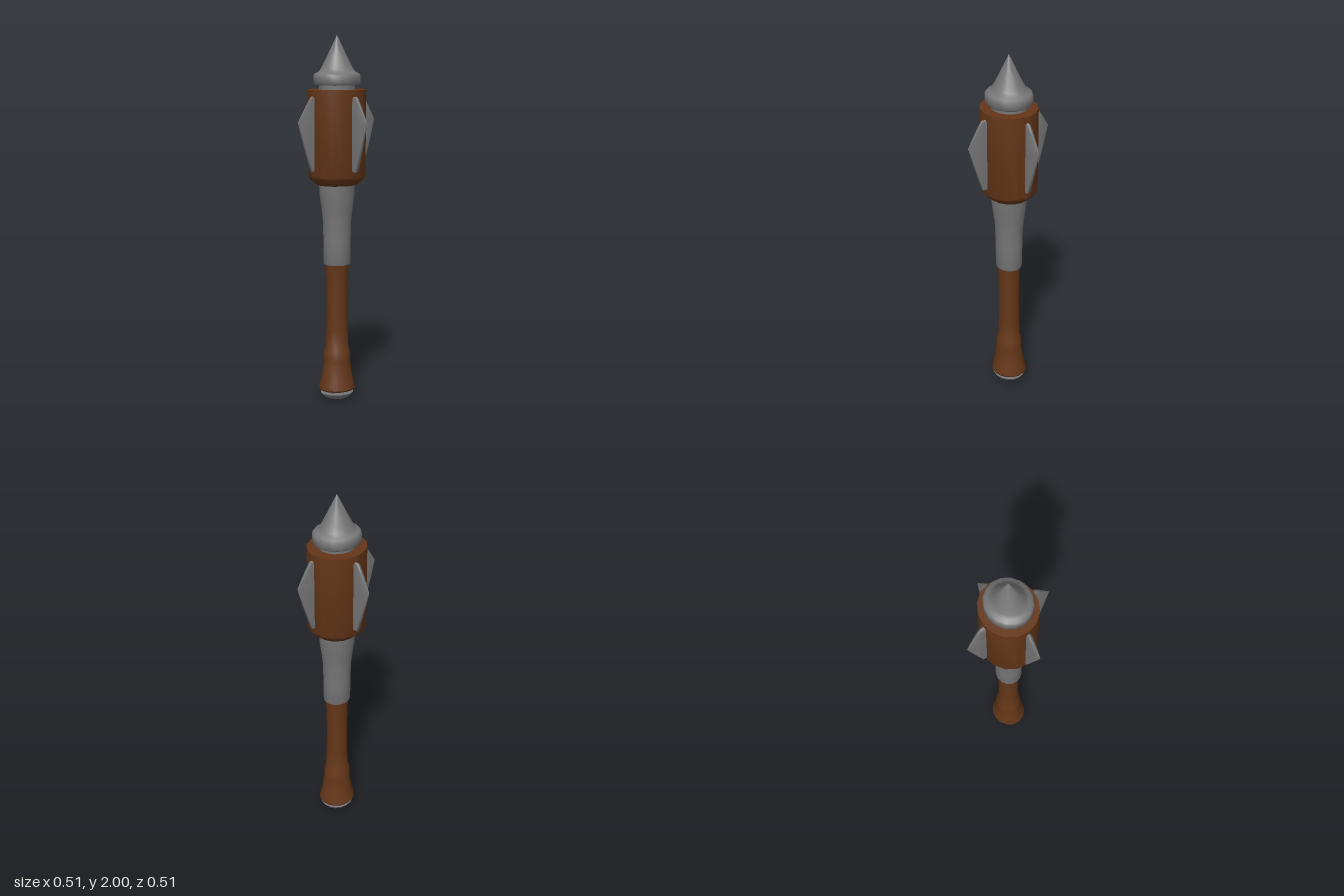
import * as THREE from 'three';
import { toCreasedNormals } from 'three/addons/utils/BufferGeometryUtils.js';

const SIDES = 16;
const X_SQUASH = 0.935; // the shaft is slightly oval

const steel = new THREE.MeshStandardMaterial({ color: 0x767676 });
const wood = new THREE.MeshStandardMaterial({ color: 0x643618 });

// Oval turned part from [radius, height] pairs, bottom to top
function turned(name, profile, material, crease = 0.6) {
  const points = profile.map(([r, y]) => new THREE.Vector2(r, y));
  const geometry = new THREE.LatheGeometry(points, SIDES);
  geometry.scale(X_SQUASH, 1, 1);
  const mesh = new THREE.Mesh(toCreasedNormals(geometry, crease), material);
  mesh.name = name;
  return mesh;
}

// Flange blade pointing along +x: rounded slab sections that shrink to a point
function bladeGeometry() {
  // [distance from axis, bottom, top, half thickness]
  const sections = [
    [0.12, 1.28, 1.68, 0.012],
    [0.17, 1.28, 1.68, 0.012],
    [0.2, 1.373, 1.634, 0.011],
    [0.23, 1.464, 1.587, 0.007],
    [0.256, 1.543, 1.547, 0.001],
  ];
  const geometry = new THREE.CylinderGeometry(1, 1, 1, 8, sections.length - 1);
  const p = geometry.attributes.position;
  for (let i = 0; i < p.count; i++) {
    const row = Math.round((p.getY(i) + 0.5) * (sections.length - 1));
    const [r, low, high, thick] = sections[row];
    const c = p.getZ(i);
    const reach = Math.abs(c) > 0.9 ? 1 : Math.abs(c) > 0.1 ? 0.96 : 0;
    const y = (low + high) / 2 + Math.sign(c) * reach * (high - low) / 2;
    p.setXYZ(i, r, y, thick * Math.sign(Math.round(p.getX(i) * 10)));
  }
  geometry.computeVertexNormals();
  return geometry;
}

export function createModel() {
  const group = new THREE.Group();
  group.name = 'flangedMace';

  // Rounded cap under the handle
  group.add(turned('pommel', [
    [0, 0.004], [0.03, 0.006], [0.06, 0.014], [0.08, 0.027], [0.093, 0.045], [0, 0.047],
  ], steel));

  // Small posts between pommel and grip
  for (const side of [-1, 1]) {
    const post = new THREE.Mesh(new THREE.BoxGeometry(0.075, 0.03, 0.02), steel);
    post.name = 'pommelPost';
    post.position.set(0, 0.055, side * 0.05);
    group.add(post);
  }

  // Handle with flared end
  group.add(turned('grip', [
    [0, 0.062], [0.098, 0.062], [0.103, 0.07], [0.1, 0.09], [0.089, 0.13], [0.08, 0.19],
    [0.075, 0.23], [0.074, 0.28], [0.065, 0.3], [0.061, 0.4], [0.059, 0.55], [0.061, 0.7],
    [0.066, 0.77], [0, 0.77],
  ], wood));

  // Tapered steel sleeve
  group.add(turned('sleeve', [
    [0, 0.766], [0.073, 0.766], [0.076, 0.775], [0.077, 0.9], [0.08, 1.01], [0.087, 1.07],
    [0.097, 1.14], [0.101, 1.21], [0, 1.21],
  ], steel));

  // Wooden head with chamfered base
  group.add(turned('head', [
    [0, 1.204], [0.114, 1.204], [0.154, 1.24], [0.16, 1.252], [0.16, 1.713], [0, 1.713],
  ], wood));

  // Collar flowing into the spike on top
  group.add(turned('collarAndSpike', [
    [0.1, 1.71], [0.1, 1.736], [0.122, 1.737], [0.13, 1.745], [0.13, 1.787], [0.122, 1.798],
    [0.105, 1.804], [0.09, 1.822], [0.074, 1.852], [0.052, 1.895], [0.026, 1.947], [0, 2],
  ], steel, 1));

  // Four flanges around the head
  const flange = bladeGeometry();
  for (let i = 0; i < 4; i++) {
    const blade = new THREE.Mesh(flange, steel);
    blade.name = 'flange';
    blade.rotation.y = i * Math.PI / 2;
    group.add(blade);
  }
  return group;
}
